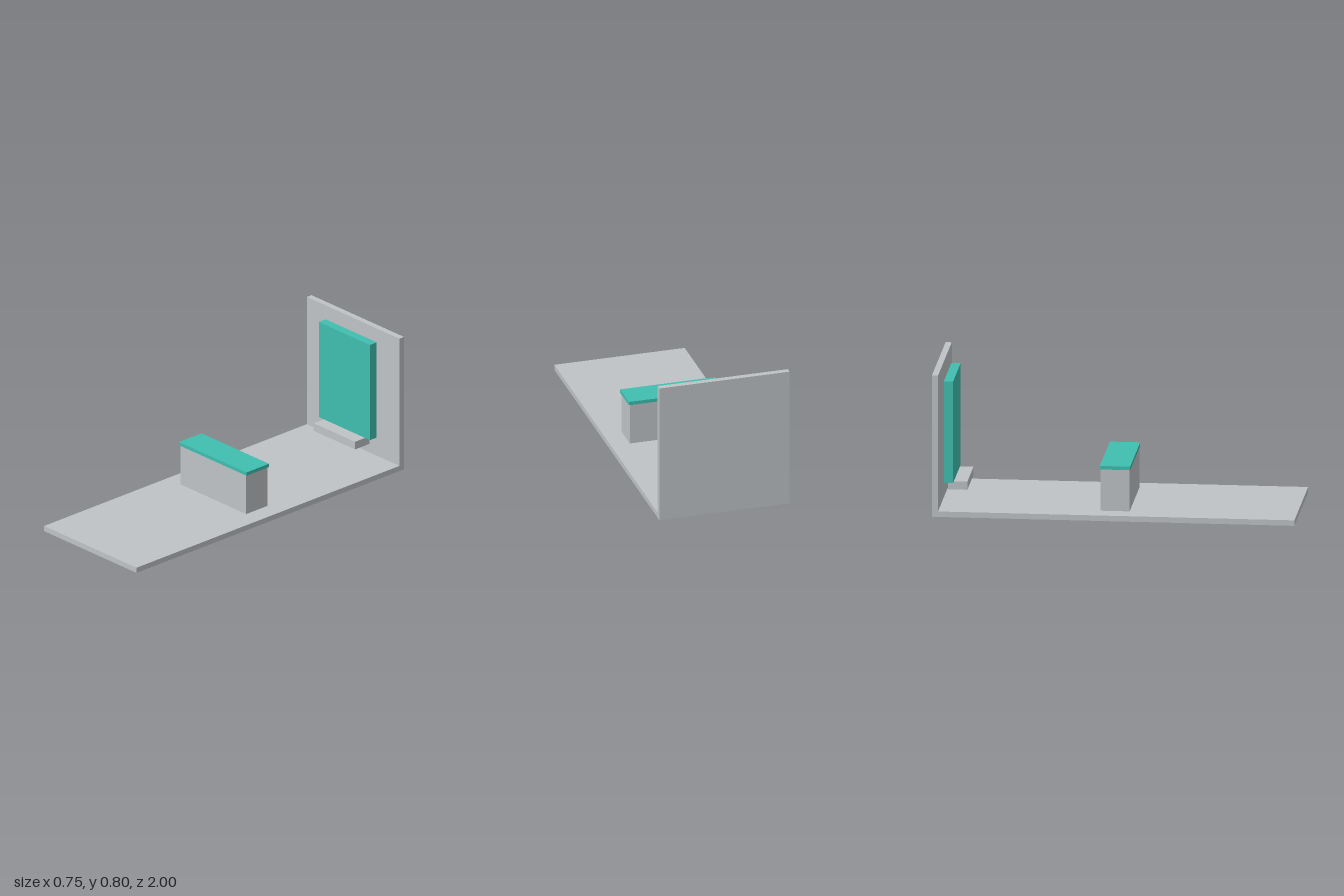
import * as THREE from 'three';

export function createModel() {
  const grey = new THREE.MeshStandardMaterial({ color: 0xbfc3c6 });
  grey.name = 'light grey';
  const teal = new THREE.MeshStandardMaterial({ color: 0x40bfb0 });
  teal.name = 'teal';

  const model = new THREE.Group();
  model.name = 'counterDisplay';

  // Box centred on x = 0, given its width and its y and z ranges
  function box(name, material, width, [y0, y1], [z0, z1]) {
    const mesh = new THREE.Mesh(new THREE.BoxGeometry(width, y1 - y0, z1 - z0), material);
    mesh.name = name;
    mesh.position.set(0, (y0 + y1) / 2, (z0 + z1) / 2);
    model.add(mesh);
  }

  // Floor slab and back wall
  box('floor', grey, 0.747, [0, 0.031], [-0.966, 1]);
  box('backWall', grey, 0.747, [0, 0.8], [-1, -0.966]);

  // Counter with a slightly overhanging top
  box('counterBody', grey, 0.532, [0.031, 0.266], [-0.08, 0.08]);
  box('counterTop', teal, 0.545, [0.266, 0.286], [-0.084, 0.084]);

  // Panel in front of the wall, resting on a small ledge
  box('wallPanel', teal, 0.413, [0.151, 0.726], [-0.951, -0.9]);
  box('panelLedge', grey, 0.335, [0.105, 0.151], [-0.933, -0.825]);

  return model;
}
